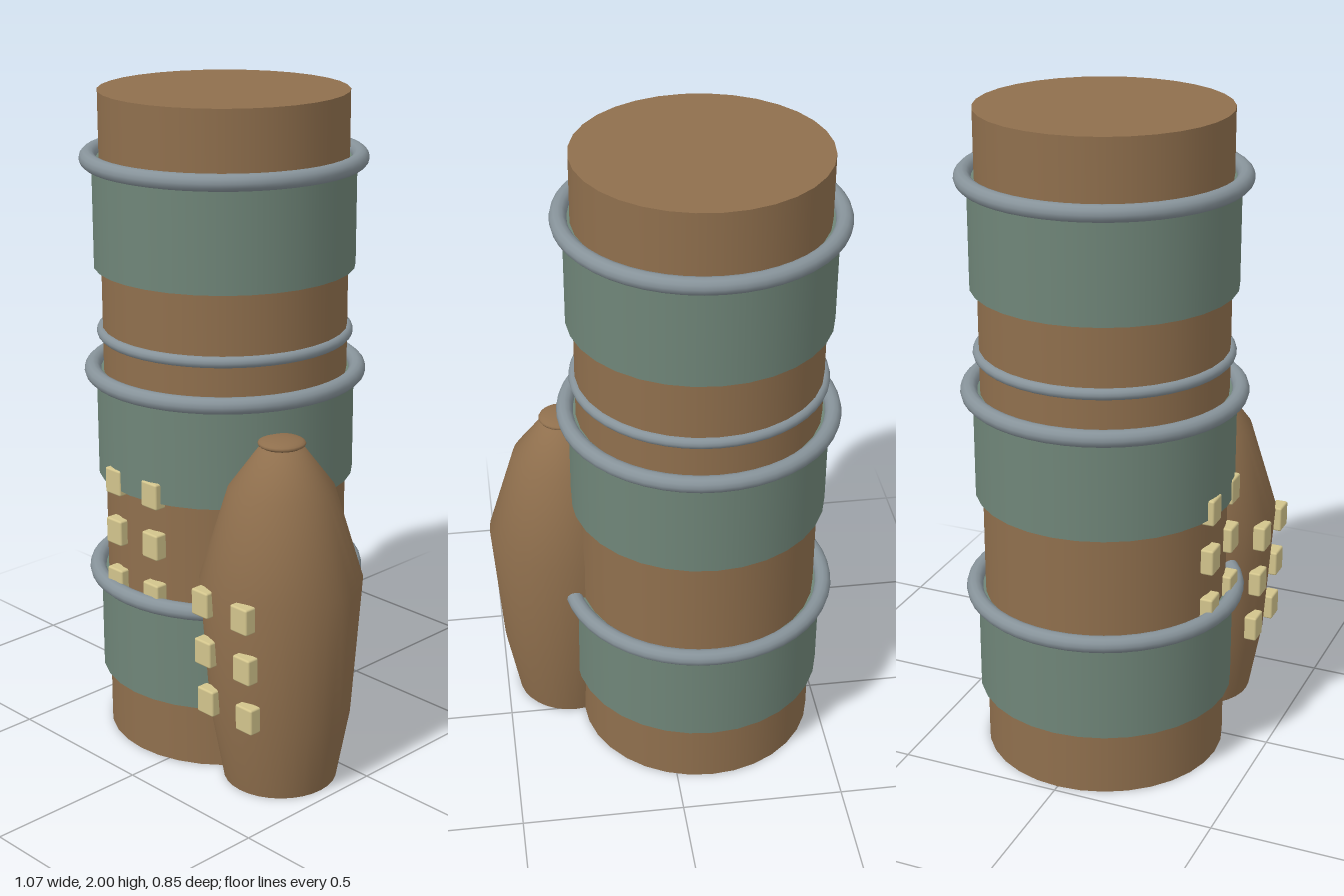
import * as THREE from 'three';
import { RoundedBoxGeometry } from 'three/addons/geometries/RoundedBoxGeometry.js';

const material = (name, color) => {
  const m = new THREE.MeshStandardMaterial({ color });
  m.name = name;
  return m;
};

export function createModel() {
  const model = new THREE.Group();
  model.name = 'tower';
  const brown = material('brown', 0x8f6f4d);
  const green = material('greyGreen', 0x6f8578);
  const steel = material('steel', 0x87939a);
  const cream = material('cream', 0xd2c48c);

  const add = (parent, name, geometry, mat, x, y, z) => {
    const mesh = new THREE.Mesh(geometry, mat);
    mesh.name = name;
    mesh.position.set(x, y, z);
    parent.add(mesh);
    return mesh;
  };

  // Main drum
  const drum = new THREE.Group();
  drum.name = 'mainTower';
  drum.position.x = -0.11;
  model.add(drum);
  add(drum, 'towerBody', new THREE.CylinderGeometry(0.368, 0.368, 2, 32), brown, 0, 1, 0);

  const ring = (name, radius, tube, y) => {
    const geometry = new THREE.TorusGeometry(radius, tube, 12, 48).rotateX(Math.PI / 2);
    add(drum, name, geometry, steel, 0, y, 0);
  };

  // Wide bands, each topped by a thick ring
  for (const bottom of [0.2, 0.843, 1.483]) {
    add(drum, 'band', new THREE.CylinderGeometry(0.39, 0.39, 0.32, 32), green, 0, bottom + 0.16, 0);
    ring('bandRing', 0.4, 0.025, bottom + 0.321);
  }
  ring('thinRing', 0.368, 0.017, 1.283);

  // Side pod with a faceted-profile shell
  const pod = new THREE.Group();
  pod.name = 'sidePod';
  pod.position.set(0.29, 0, 0.16);
  model.add(pod);
  const profile = [[0, 0], [0.17, 0], [0.17, 0], [0.21, 0.22], [0.24, 0.64], [0.155, 0.92], [0.065, 1.04], [0, 1.04]]
    .map(([r, y]) => new THREE.Vector2(r, y));
  const floor = profile.slice(0, 2);
  add(pod, 'podFloor', new THREE.LatheGeometry(floor, 32), brown, 0, 0, 0);
  add(pod, 'podShell', new THREE.LatheGeometry(profile.slice(2), 32), brown, 0, 0, 0);

  // Flattened cap on the pod
  const cap = new THREE.SphereGeometry(0.07, 24, 12).scale(1, 0.25, 1);
  add(pod, 'podCap', cap, brown, 0, 1.053, 0);

  // Window grids: two columns, three rows, z given per row
  const pane = new RoundedBoxGeometry(0.066, 0.08, 0.04, 2, 0.006);
  const windows = (name, columns, rows) => {
    for (const x of columns) {
      for (const [y, z] of rows) add(model, name, pane, cream, x, y, z);
    }
  };
  windows('towerWindow', [-0.19, -0.03], [[0.865, 0.37], [0.705, 0.37], [0.545, 0.37]]);
  windows('podWindow', [0.21, 0.37], [[0.605, 0.395], [0.445, 0.385], [0.285, 0.375]]);

  return model;
}
